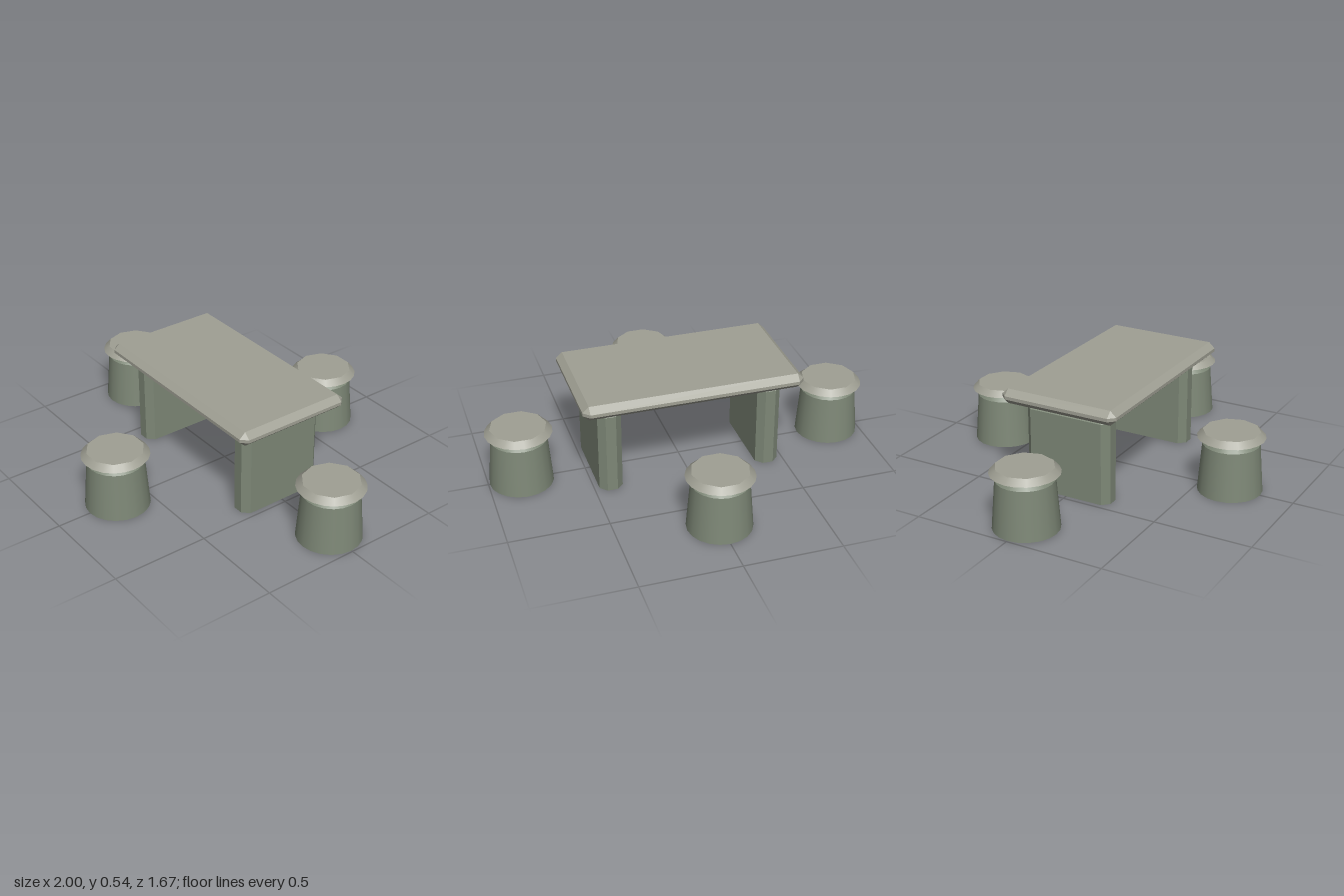
import * as THREE from 'three';

const slabStone = new THREE.MeshStandardMaterial({ color: 0xa0a094 });
slabStone.name = 'paleStone';
const baseStone = new THREE.MeshStandardMaterial({ color: 0x7e8877, side: THREE.DoubleSide });
baseStone.name = 'mossyStone';

// Eight-point outline; a cut of zero closes each corner to a point
const outline = (x, z, cut, y) => [
  [x, y, z - cut], [x, y, -z + cut], [x - cut, y, -z], [-x + cut, y, -z],
  [-x, y, -z + cut], [-x, y, z - cut], [-x + cut, y, z], [x - cut, y, z],
];

// Flat-faced skin through stacked outlines, bottom to top
function loft(rings, closeBottom) {
  const p = [];
  const n = rings[0].length;
  const tri = (a, b, c) => {
    const [A, B, C] = [a, b, c].map((v) => new THREE.Vector3(...v));
    if (B.sub(A).cross(C.sub(A)).length() > 1e-9) p.push(...a, ...b, ...c);
  };
  for (let r = 0; r < rings.length - 1; r++) {
    for (let i = 0; i < n; i++) {
      const j = (i + 1) % n;
      tri(rings[r][i], rings[r][j], rings[r + 1][j]);
      tri(rings[r][i], rings[r + 1][j], rings[r + 1][i]);
    }
  }
  const top = rings[rings.length - 1];
  for (let i = 1; i < n - 1; i++) {
    tri(top[0], top[i], top[i + 1]);
    if (closeBottom) tri(rings[0][0], rings[0][i + 1], rings[0][i]);
  }
  const g = new THREE.BufferGeometry();
  g.setAttribute('position', new THREE.Float32BufferAttribute(p, 3));
  g.computeVertexNormals();
  return g;
}

// Frustum with a 20-sided lower rim and a 10-sided upper rim
function taperedRim(top, bottom, y0, y1, open) {
  const g = new THREE.CylinderGeometry(top, bottom, y1 - y0, 20, 1, open);
  const pos = g.attributes.position;
  for (let i = 0; i < pos.count; i++) {
    const x = pos.getX(i), z = pos.getZ(i);
    const step = Math.round(Math.atan2(x, z) / (Math.PI / 10));
    if (pos.getY(i) > 0 && step % 2 === 0) {
      pos.setX(i, x * Math.cos(Math.PI / 10));
      pos.setZ(i, z * Math.cos(Math.PI / 10));
    }
  }
  return g.translate(0, (y0 + y1) / 2, 0);
}

function add(parent, name, geometry, material) {
  const mesh = new THREE.Mesh(geometry, material);
  mesh.name = name;
  parent.add(mesh);
  return mesh;
}

export function createModel() {
  const model = new THREE.Group();
  model.name = 'stoneTableSet';

  // Table slab, chamfered all round
  const c = 0.032;
  add(model, 'tableTop', loft([
    outline(0.564 - c, 0.314 - c, 0, 0.46),
    outline(0.564, 0.314, c, 0.489),
    outline(0.564, 0.314, c, 0.506),
    outline(0.564 - c, 0.314 - c, 0, 0.535),
  ], true), slabStone);

  // Two slab legs, open underneath
  const leg = loft([
    outline(0.06, 0.231, 0.034, 0),
    outline(0.06, 0.231, 0.034, 0.424),
    outline(0.026, 0.197, 0, 0.458),
  ], false);
  for (const s of [1, -1]) {
    add(model, s > 0 ? 'leftLeg' : 'rightLeg', leg, baseStone).position.x = s * 0.414;
  }

  // Four stools: hollow tapered body, chamfered shoulder, overhanging seat
  const body = new THREE.CylinderGeometry(0.143, 0.163, 0.25, 20, 1, true).translate(0, 0.125, 0);
  const shoulder = taperedRim(0.115, 0.143, 0.25, 0.285, true);
  const seat = taperedRim(0.143, 0.17, 0.285, 0.315, false);
  const places = [['left', 0.83, 0], ['right', -0.83, 0], ['front', 0, 0.663], ['back', 0, -0.663]];
  for (const [side, x, z] of places) {
    const stool = new THREE.Group();
    stool.name = side + 'Stool';
    stool.position.set(x, 0, z);
    add(stool, 'stoolBody', body, baseStone);
    add(stool, 'stoolShoulder', shoulder, baseStone);
    add(stool, 'stoolSeat', seat, slabStone);
    model.add(stool);
  }
  return model;
}
